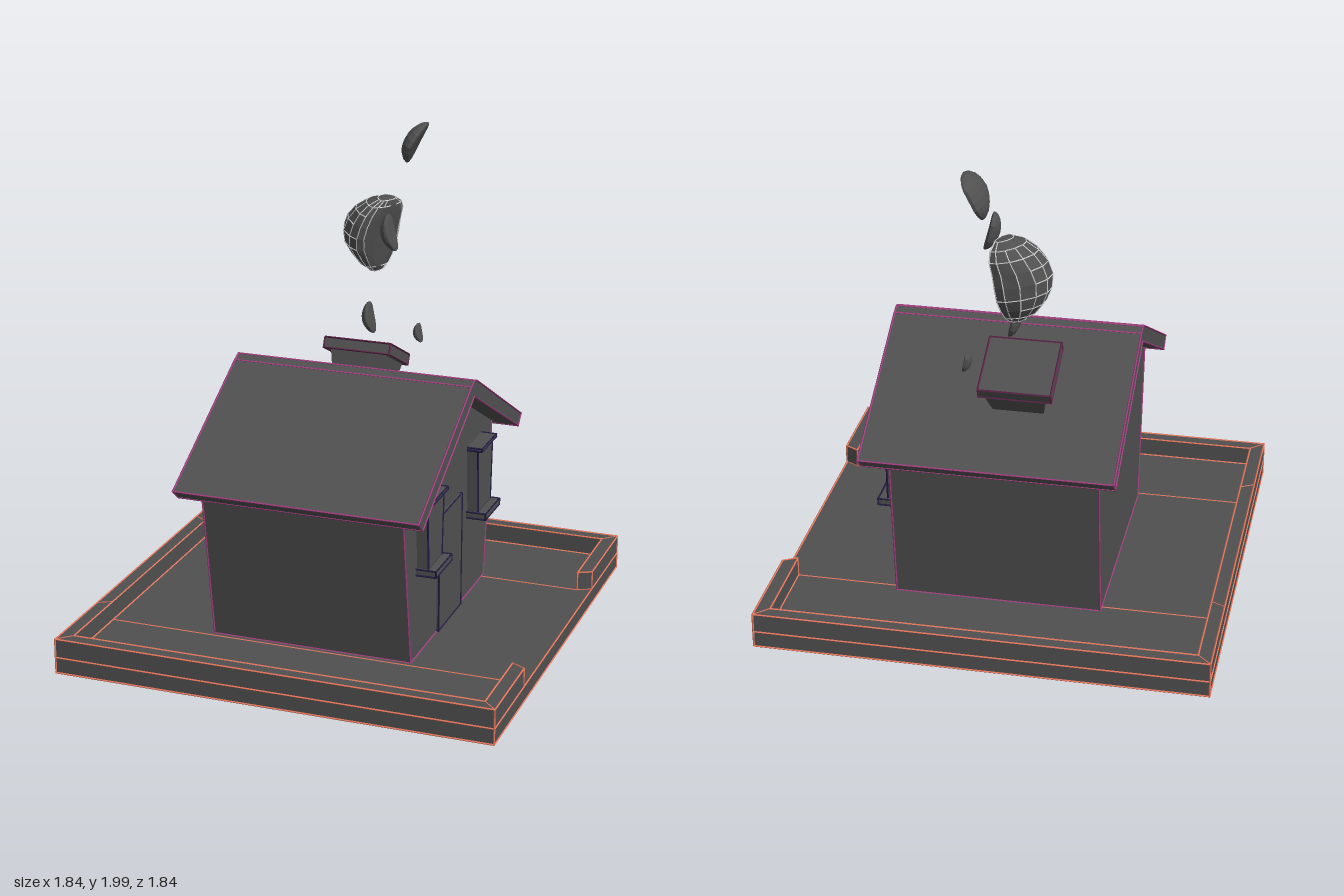
import * as THREE from 'three';
import { mergeGeometries } from 'three/addons/utils/BufferGeometryUtils.js';

const paint = (color) => new THREE.MeshStandardMaterial({ color, flatShading: true });
const dark = paint(0x505050);
const orange = paint(0xe0745a);
const magenta = paint(0x9c3c7c);
const maroon = paint(0x5c2448);
const navy = paint(0x201a40);
const white = paint(0xf0f0f0);

function add(parent, name, geometry, x = 0, y = 0, z = 0, material = dark) {
  const mesh = new THREE.Mesh(geometry, material);
  mesh.name = name;
  mesh.position.set(x, y, z);
  parent.add(mesh);
  return mesh;
}

// Box given by its extents on each axis
function block(parent, name, [x0, x1], [y0, y1], [z0, z1]) {
  return add(parent, name, new THREE.BoxGeometry(x1 - x0, y1 - y0, z1 - z0),
    (x0 + x1) / 2, (y0 + y1) / 2, (z0 + z1) / 2);
}

// Thin square rod between two points
function rod(a, b, radius) {
  const dir = b.clone().sub(a);
  const geometry = new THREE.CylinderGeometry(radius, radius, dir.length() + radius, 4);
  const turn = new THREE.Quaternion().setFromUnitVectors(new THREE.Vector3(0, 1, 0), dir.normalize());
  const mid = a.clone().add(b).multiplyScalar(0.5);
  return geometry.applyQuaternion(turn).translate(mid.x, mid.y, mid.z);
}

// Coloured trim along every sharp edge of a part
function trim(mesh, material, radius = 0.004, angle = 30) {
  const p = new THREE.EdgesGeometry(mesh.geometry, angle).attributes.position;
  const rods = [];
  for (let i = 0; i < p.count; i += 2) {
    rods.push(rod(new THREE.Vector3().fromBufferAttribute(p, i),
      new THREE.Vector3().fromBufferAttribute(p, i + 1), radius));
  }
  add(mesh, mesh.name + 'Trim', mergeGeometries(rods), 0, 0, 0, material);
}

// Outline of [z, y] points swept along x
function prismAlongX(outline, x0, x1) {
  const shape = new THREE.Shape(outline.map(([z, y]) => new THREE.Vector2(-z, y)));
  return new THREE.ExtrudeGeometry(shape, { depth: x1 - x0, bevelEnabled: false })
    .rotateY(Math.PI / 2).translate(x0, 0, 0);
}

// Box whose bottom is narrower than its top
function taperedBox(w, h, d, ratioX, ratioZ) {
  const geometry = new THREE.BoxGeometry(w, h, d);
  const p = geometry.attributes.position;
  for (let i = 0; i < p.count; i++) {
    if (p.getY(i) < 0) {
      p.setX(i, p.getX(i) * ratioX);
      p.setZ(i, p.getZ(i) * ratioZ);
    }
  }
  geometry.computeVertexNormals();
  return geometry;
}

// Lumpy puff: round on -x, flattened on +x, bent and drawn in towards the bottom
function puffGeometry(rx, ry, rz) {
  const geometry = new THREE.SphereGeometry(1, 14, 10);
  const p = geometry.attributes.position;
  for (let i = 0; i < p.count; i++) {
    const x = p.getX(i), y = p.getY(i), z = p.getZ(i);
    const bent = (x > 0 ? x * 0.5 : x) + 0.35 * y * y + 0.15 * z * z;
    const lump = 1 + 0.05 * Math.sin(5 * y + 3 * z);
    p.setXYZ(i, (bent - 0.1) * rx, y * ry, (z * (1 + 0.15 * y) - 0.12 * y * y) * rz * lump);
  }
  geometry.computeVertexNormals();
  return geometry;
}

export function createModel() {
  const model = new THREE.Group();
  model.name = 'house';

  // Ground slab and the low rim, open on the door side
  trim(block(model, 'groundSlab', [-0.916, 0.916], [0.004, 0.07], [-0.916, 0.916]), orange);
  const rim = new THREE.Shape([
    [0.916, -0.53], [0.86, -0.5], [0.86, -0.86], [-0.86, -0.86], [-0.86, 0.86],
    [0.86, 0.86], [0.86, 0.46], [0.916, 0.49], [0.916, 0.916], [-0.916, 0.916],
    [-0.916, -0.916], [0.916, -0.916],
  ].map(([x, y]) => new THREE.Vector2(x, y)));
  trim(add(model, 'gardenRim',
    new THREE.ExtrudeGeometry(rim, { depth: 0.08, bevelEnabled: false }).rotateX(-Math.PI / 2), 0, 0.07, 0), orange, 0.004, 20);

  // Seams: mitred rim corners, rim joints and two lines across the ground
  const seam = (x0, y0, z0, x1, z1) =>
    rod(new THREE.Vector3(x0, y0, z0), new THREE.Vector3(x1, y0, z1), 0.003);
  const seams = [];
  for (const sx of [-1, 1]) {
    for (const sz of [-1, 1]) seams.push(seam(sx * 0.86, 0.15, sz * 0.86, sx * 0.916, sz * 0.916));
  }
  for (const [inner, outer] of [[-0.46, -0.49], [0.5, 0.53]]) {
    seams.push(seam(-0.86, 0.15, inner, -0.916, outer), seam(-0.86, 0.07, inner, 0.86, inner));
  }
  add(model, 'groundSeams', mergeGeometries(seams), 0, 0, 0, orange);

  // Walls flare outwards to the eaves
  trim(add(model, 'walls', prismAlongX(
    [[0.475, 0.07], [-0.49, 0.07], [-0.575, 0.755], [0, 1.07], [0.585, 0.755]], -0.413, 0.432)), magenta);

  // Gabled roof with a ridge cap line on each side
  trim(add(model, 'roof', prismAlongX(
    [[0.692, 0.757], [0.64, 0.714], [0.005, 1.052], [-0.635, 0.714], [-0.675, 0.757],
      [-0.035, 1.106], [0.005, 1.12], [0.045, 1.104]], -0.488, 0.532)), magenta, 0.004, 5);

  // Chimney stands square to the rear roof slope
  const chimney = new THREE.Group();
  chimney.name = 'chimney';
  chimney.position.set(-0.06, 1.085, -0.378);
  chimney.rotation.x = -0.46;
  trim(add(chimney, 'chimneyCap', new THREE.BoxGeometry(0.29, 0.045, 0.268), 0, -0.0225, 0), maroon);
  add(chimney, 'chimneyStack', taperedBox(0.24, 0.15, 0.245, 0.8, 0.72), 0, -0.12, -0.012);
  model.add(chimney);

  // Door
  trim(block(model, 'door', [0.42, 0.442], [0.074, 0.572], [-0.141, 0.151]), navy);

  // Windows: projecting panel, sill and lintel
  for (const z of [0.322, -0.332]) {
    const win = new THREE.Group();
    win.name = 'window';
    trim(add(win, 'windowPanel', taperedBox(0.06, 0.28, 0.2, 1, 0.83), 0.45, 0.59, z), navy);
    trim(block(win, 'windowSill', [0.42, 0.517], [0.427, 0.453], [z - 0.098, z + 0.098]), navy);
    trim(block(win, 'windowLintel', [0.42, 0.497], [0.727, 0.74], [z - 0.1, z + 0.1]), navy);
    model.add(win);
  }

  // Smoke puffs: centre, radii, lean (about z) and turn (about y)
  const puffs = [
    [[0.053, 1.912, -0.64], [0.04, 0.094, 0.115], -0.45, 0.1],
    [[-0.085, 1.538, -0.535], [0.125, 0.17, 0.135], -0.2, -0.4],
    [[0.072, 1.612, -0.278], [0.032, 0.078, 0.07], 0.25, 0.1],
    [[-0.018, 1.238, -0.287], [0.027, 0.067, 0.062], 0.2, 0.1],
    [[0.134, 1.133, -0.474], [0.02, 0.042, 0.037], 0.2, 0],
  ];
  puffs.forEach(([at, radii, lean, turn], i) => {
    const puff = add(model, 'smokePuff', puffGeometry(...radii), ...at);
    puff.rotation.set(0, turn, lean);
    if (i === 1) trim(puff, white, 0.0025, 14);
  });
  return model;
}
